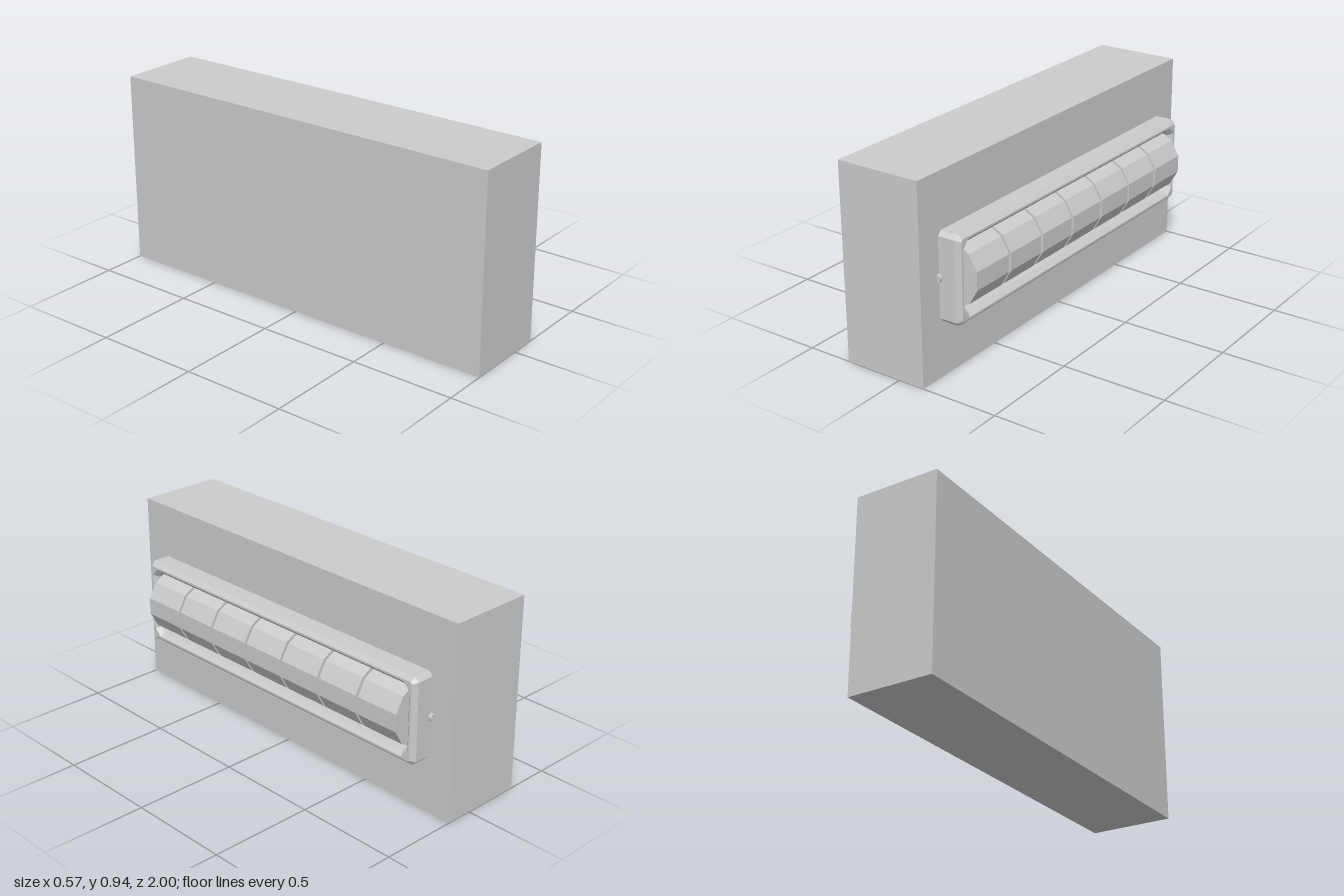
import * as THREE from 'three';

const FACE_X = 0.13;      // face of the block that carries the rollers
const AXIS_Y = 0.4675;    // height of the axle

// Rectangle outline with cut corners
function cutRect(PathType, halfW, halfH, cut) {
  const w = halfW - cut, h = halfH - cut;
  return new PathType([
    [w, -halfH], [halfW, -h], [halfW, h], [w, halfH],
    [-w, halfH], [-halfW, h], [-halfW, -h], [-w, -halfH],
  ].map(([x, y]) => new THREE.Vector2(x, y)));
}

export function createModel() {
  const model = new THREE.Group();
  const material = new THREE.MeshStandardMaterial({ color: 0xcccccc, flatShading: true });

  function add(name, geometry, x, y, z) {
    const mesh = new THREE.Mesh(geometry, material);
    mesh.name = name;
    mesh.position.set(x, y, z);
    model.add(mesh);
    return mesh;
  }

  // Main block
  add('block', new THREE.BoxGeometry(0.415, 0.935, 2), -0.0775, AXIS_Y, 0);

  // Bevelled frame around the rollers, its back edge sunk into the block
  const bevel = 0.02, sunk = 0.03, height = 0.105;
  const outline = cutRect(THREE.Shape, 0.877, 0.2075, 0.02);
  outline.holes.push(cutRect(THREE.Path, 0.827, 0.1585, 0.025));
  const frame = new THREE.ExtrudeGeometry(outline, {
    depth: height + sunk - 2 * bevel,
    bevelEnabled: true,
    bevelSegments: 1,
    bevelThickness: bevel,
    bevelSize: bevel,
    bevelOffset: -bevel,
  });
  frame.translate(0, 0, bevel - sunk);
  frame.rotateY(Math.PI / 2);
  add('frame', frame, FACE_X, AXIS_Y, 0);

  // Axle whose ends show outside the frame
  const axle = new THREE.CylinderGeometry(0.02, 0.02, 1.784, 12);
  axle.rotateX(Math.PI / 2);
  add('axle', axle, 0.128, AXIS_Y, 0);

  // Row of twelve-sided rollers, one flat facing outward
  const roller = new THREE.CylinderGeometry(0.16, 0.16, 0.222, 12);
  roller.rotateY(Math.PI / 12);
  roller.rotateX(Math.PI / 2);
  for (let i = 0; i < 7; i++) {
    add(`roller${i + 1}`, roller, 0.128, AXIS_Y, (i - 3) * 0.236);
  }

  return model;
}
